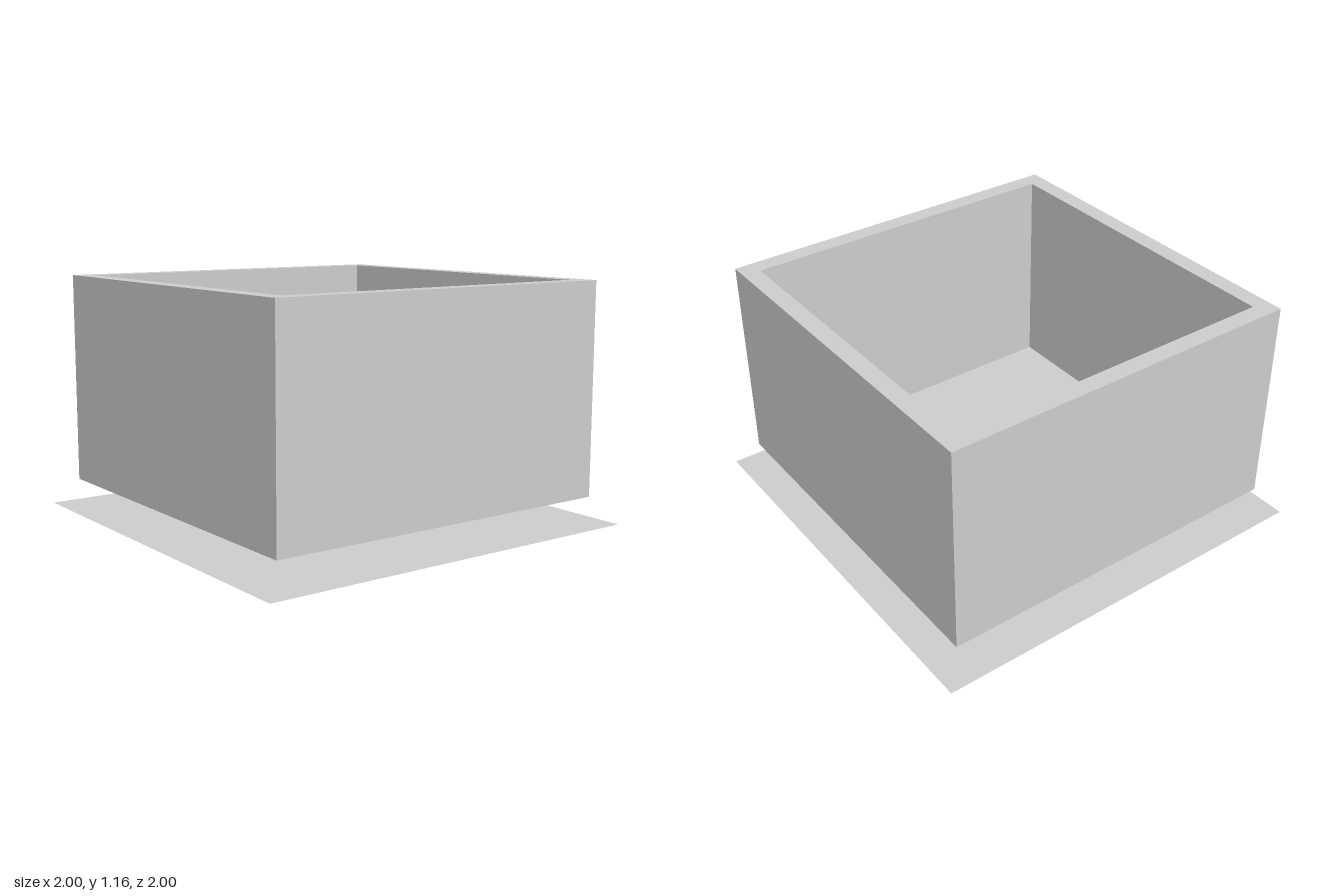
import * as THREE from 'three';

// Square outline centred on the origin
function square(half, PathType) {
  return new PathType([
    new THREE.Vector2(-half, -half),
    new THREE.Vector2(half, -half),
    new THREE.Vector2(half, half),
    new THREE.Vector2(-half, half),
  ]);
}

export function createModel() {
  const group = new THREE.Group();
  const bottom = 0.13, top = 1.165;

  // Square frame of four walls, open at top and bottom
  const outline = square(0.9, THREE.Shape);
  outline.holes.push(square(0.813, THREE.Path));
  const wallGeometry = new THREE.ExtrudeGeometry(outline, { depth: top - bottom, bevelEnabled: false });
  wallGeometry.rotateX(-Math.PI / 2);
  wallGeometry.translate(0, bottom, 0);
  const walls = new THREE.Mesh(wallGeometry, new THREE.MeshStandardMaterial({ color: 0xcccccc }));
  walls.name = 'walls';
  group.add(walls);

  // Thin ground sheet below the walls
  const baseGeometry = new THREE.PlaneGeometry(2, 2).rotateX(-Math.PI / 2);
  const base = new THREE.Mesh(
    baseGeometry,
    new THREE.MeshStandardMaterial({ color: 0xcccccc, side: THREE.DoubleSide })
  );
  base.name = 'baseSheet';
  group.add(base);

  return group;
}
